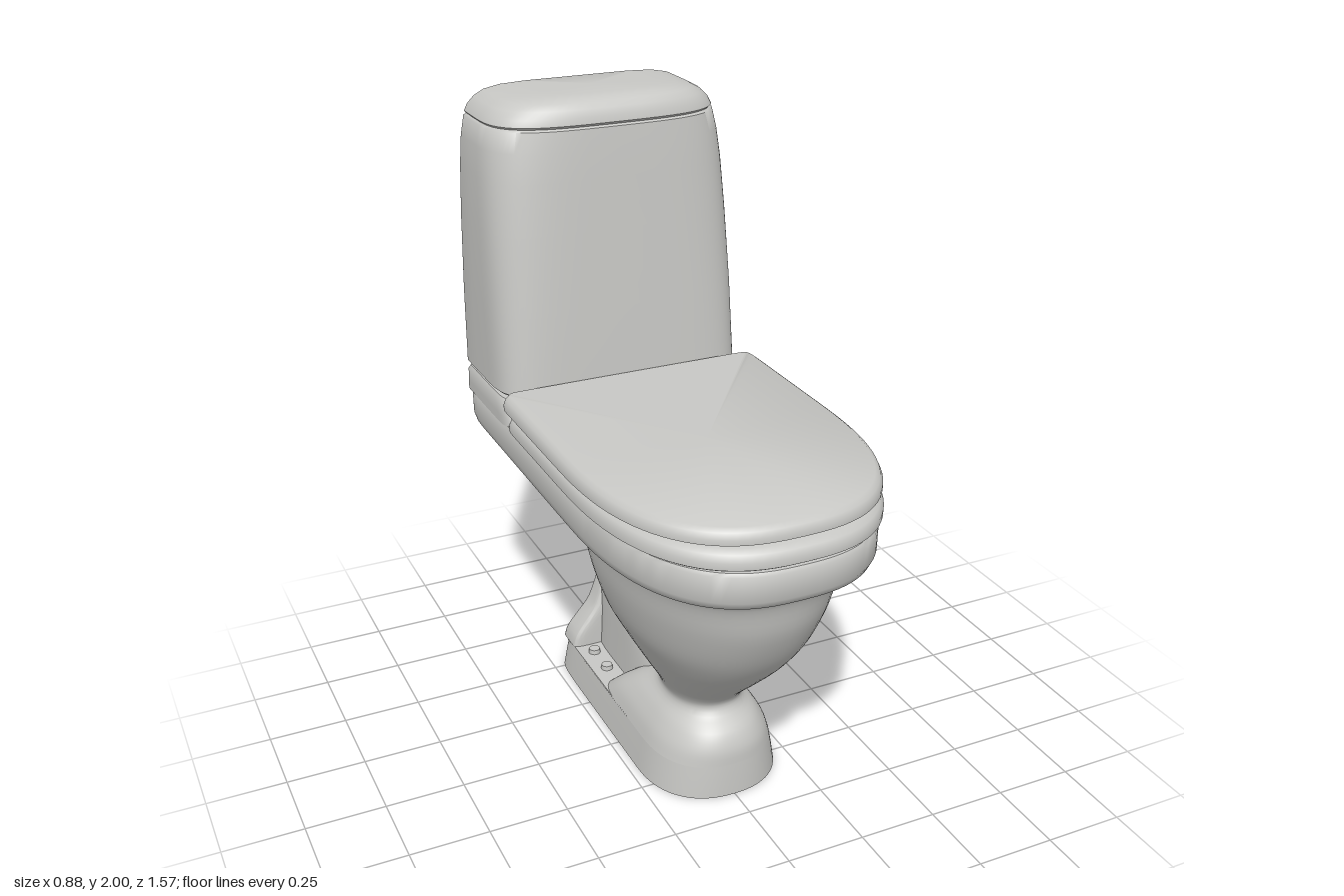
import * as THREE from 'three';
import { toCreasedNormals } from 'three/addons/utils/BufferGeometryUtils.js';

const ceramic = new THREE.MeshStandardMaterial({ color: 0xc8c8c5, side: THREE.DoubleSide });
ceramic.name = 'pale grey ceramic';

// Catmull-Rom smoothing of rows of numbers
function smoothRows(rows, steps) {
  const out = [];
  const at = (i) => rows[Math.min(Math.max(i, 0), rows.length - 1)];
  for (let i = 0; i < rows.length - 1; i++) {
    for (let s = 0; s < steps; s++) {
      const t = s / steps;
      out.push(at(i).map((p1, k) => {
        const p0 = at(i - 1)[k], p2 = at(i + 1)[k], p3 = at(i + 2)[k];
        return p1 + 0.5 * t * (p2 - p0 + t * (2 * p0 - 5 * p1 + 4 * p2 - p3 + t * (3 * (p1 - p2) + p3 - p0)));
      }));
    }
  }
  out.push(rows[rows.length - 1]);
  return out;
}

// Stack of D-shaped rings. Row: [y, front z, back z, half width, front squareness, back squareness]
function loft(name, rows, { zc = null, steps = 1, bottom = true, top = true, crease = 0.75, sides = 72 } = {}) {
  const rings = steps > 1 ? smoothRows(rows, steps) : rows;
  const pos = [], idx = [];
  const power = (v, n) => Math.sign(v) * Math.pow(Math.abs(v), 2 / n);
  for (const [y, zf, zb, hw, nf, nb] of rings) {
    const mid = zc === null ? (zf + zb) / 2 : zc;
    for (let j = 0; j < sides; j++) {
      const a = (j / sides) * Math.PI * 2;
      let c = Math.cos(a), s = Math.sin(a);
      if (Math.abs(c) < 1e-9) c = 0;
      if (Math.abs(s) < 1e-9) s = 0;
      const n = s >= 0 ? nf : nb;
      pos.push(hw * power(c, n), y, mid + (s >= 0 ? zf - mid : mid - zb) * power(s, n));
    }
  }
  for (let i = 0; i < rings.length - 1; i++) {
    for (let j = 0; j < sides; j++) {
      const a = i * sides + j, b = i * sides + (j + 1) % sides;
      idx.push(a, a + sides, b, b, a + sides, b + sides);
    }
  }
  const cap = (i, up) => {
    const [y, zf, zb] = rings[i];
    const centre = pos.length / 3;
    pos.push(0, y, (zf + zb) / 2);
    for (let j = 0; j < sides; j++) {
      const a = i * sides + j, b = i * sides + (j + 1) % sides;
      if (up) idx.push(centre, b, a);
      else idx.push(centre, a, b);
    }
  };
  if (bottom) cap(0, false);
  if (top) cap(rings.length - 1, true);
  const geo = new THREE.BufferGeometry();
  geo.setAttribute('position', new THREE.Float32BufferAttribute(pos, 3));
  geo.setIndex(idx);
  const mesh = new THREE.Mesh(toCreasedNormals(geo, crease), ceramic);
  mesh.name = name;
  return mesh;
}

export function createModel() {
  const model = new THREE.Group();
  model.name = 'toilet';

  // Hollow foot, open underneath
  model.add(loft('foot', [
    [0, 0.4, -0.545, 0.222, 2.3, 14],
    [0.06, 0.398, -0.54, 0.212, 2.3, 14],
    [0.11, 0.395, -0.535, 0.202, 2.3, 14],
  ], { zc: 0.15, bottom: false, top: false }));

  // Ledge for the fixing bolts
  const ledge = new THREE.Mesh(new THREE.BoxGeometry(0.4, 0.01, 0.6), ceramic);
  ledge.position.set(0, 0.106, -0.2);
  ledge.name = 'boltLedge';
  model.add(ledge);
  for (const x of [-0.15, 0.15]) {
    for (const z of [-0.265, -0.375]) {
      const bolt = new THREE.Mesh(new THREE.CylinderGeometry(0.018, 0.02, 0.016, 16), ceramic);
      bolt.position.set(x, 0.118, z);
      bolt.name = 'bolt';
      model.add(bolt);
    }
  }

  // Pedestal front, neck and bowl in one sweep
  model.add(loft('bowl', [
    [0.11, 0.395, -0.2, 0.202, 2.3, 8],
    [0.16, 0.39, -0.15, 0.185, 2.3, 6],
    [0.21, 0.365, -0.09, 0.155, 2.3, 4],
    [0.255, 0.315, -0.02, 0.12, 2.2, 2.5],
    [0.3, 0.322, 0, 0.128, 2.2, 2.3],
    [0.4, 0.425, -0.035, 0.185, 2.2, 2.3],
    [0.5, 0.525, -0.095, 0.24, 2.2, 2.3],
    [0.6, 0.6, -0.145, 0.29, 2.2, 2.3],
    [0.72, 0.66, -0.185, 0.325, 2.2, 2.4],
    [0.82, 0.685, -0.225, 0.34, 2.3, 2.5],
    [0.86, 0.705, -0.29, 0.352, 2.4, 2.8],
    [0.89, 0.75, -0.37, 0.39, 2.5, 3],
  ], { zc: 0.15, steps: 4, bottom: false, top: false, crease: 1 }));

  // Rear leg, raked back to carry the cistern shelf
  model.add(loft('rearLeg', [
    [0.11, 0.05, -0.52, 0.11, 2.5, 4],
    [0.2, 0.04, -0.515, 0.105, 2.5, 4],
    [0.29, -0.01, -0.515, 0.1, 2.5, 4],
    [0.36, -0.13, -0.518, 0.095, 2.5, 4],
    [0.45, -0.21, -0.53, 0.093, 2.5, 4],
    [0.57, -0.3, -0.56, 0.095, 2.5, 4],
    [0.7, -0.38, -0.62, 0.11, 2.5, 4],
    [0.79, -0.405, -0.69, 0.14, 2.6, 4],
    [0.83, -0.35, -0.725, 0.17, 2.8, 4],
    [0.885, -0.24, -0.775, 0.27, 3, 4],
  ], { steps: 4, bottom: false, top: false, crease: 1 }));

  // Flared heel behind the bolts
  model.add(loft('heel', [
    [0.11, -0.425, -0.535, 0.202, 10, 14],
    [0.15, -0.425, -0.53, 0.19, 10, 14],
    [0.2, -0.425, -0.522, 0.155, 8, 12],
    [0.26, -0.425, -0.517, 0.115, 6, 8],
    [0.36, -0.43, -0.518, 0.08, 4, 5],
  ], { steps: 3, bottom: false, top: false, crease: 1 }));

  // Rim and the shelf behind it
  model.add(loft('rim', [
    [0.882, 0.735, -0.765, 0.385, 2.5, 22],
    [0.886, 0.752, -0.772, 0.4, 2.5, 24],
    [0.897, 0.77, -0.778, 0.413, 2.6, 26],
    [0.92, 0.783, -0.781, 0.419, 2.6, 28],
    [1.0, 0.785, -0.782, 0.42, 2.6, 28],
    [1.01, 0.777, -0.78, 0.415, 2.6, 28],
  ], { zc: 0.1, sides: 96 }));
  model.add(loft('cisternShelf', [
    [1.0, -0.33, -0.782, 0.42, 10, 24],
    [1.03, -0.345, -0.782, 0.42, 9, 24],
    [1.07, -0.372, -0.782, 0.418, 8, 24],
    [1.083, -0.39, -0.777, 0.41, 8, 24],
  ], { zc: -0.65 }));

  // Seat
  model.add(loft('seat', [
    [1.016, 0.775, -0.34, 0.425, 2.6, 34],
    [1.024, 0.787, -0.345, 0.435, 2.6, 34],
    [1.045, 0.788, -0.345, 0.435, 2.6, 34],
    [1.065, 0.778, -0.34, 0.427, 2.6, 34],
    [1.075, 0.758, -0.335, 0.412, 2.6, 34],
  ], { zc: 0.1, sides: 96 }));

  // Seat cover
  model.add(loft('seatLid', [
    [1.083, 0.755, -0.37, 0.435, 2.6, 40],
    [1.088, 0.765, -0.37, 0.441, 2.6, 40],
    [1.104, 0.765, -0.37, 0.441, 2.6, 40],
    [1.122, 0.757, -0.37, 0.433, 2.6, 40],
    [1.132, 0.742, -0.37, 0.42, 2.6, 40],
  ], { zc: 0.1, sides: 96 }));

  // Cistern, tapering upward with an upright back
  model.add(loft('cistern', [
    [1.09, -0.385, -0.775, 0.408, 6, 24],
    [1.1, -0.373, -0.782, 0.418, 6, 24],
    [1.35, -0.39, -0.782, 0.416, 5.2, 24],
    [1.6, -0.41, -0.782, 0.41, 4.4, 24],
    [1.76, -0.421, -0.782, 0.403, 3.9, 24],
    [1.85, -0.428, -0.782, 0.395, 3.6, 24],
    [1.912, -0.434, -0.782, 0.383, 3.4, 24],
    [1.918, -0.442, -0.778, 0.376, 3.4, 24],
  ], { zc: -0.68 }));

  // Cistern lid with a domed edge
  model.add(loft('cisternLid', [
    [1.916, -0.443, -0.778, 0.372, 3.4, 24],
    [1.925, -0.435, -0.782, 0.38, 3.4, 24],
    [1.945, -0.439, -0.782, 0.37, 3.4, 24],
    [1.968, -0.449, -0.782, 0.347, 3.4, 24],
    [1.985, -0.464, -0.782, 0.315, 3.4, 24],
    [1.995, -0.485, -0.779, 0.265, 3.4, 24],
    [2.0, -0.515, -0.77, 0.19, 3.4, 24],
  ], { zc: -0.68 }));

  return model;
}
